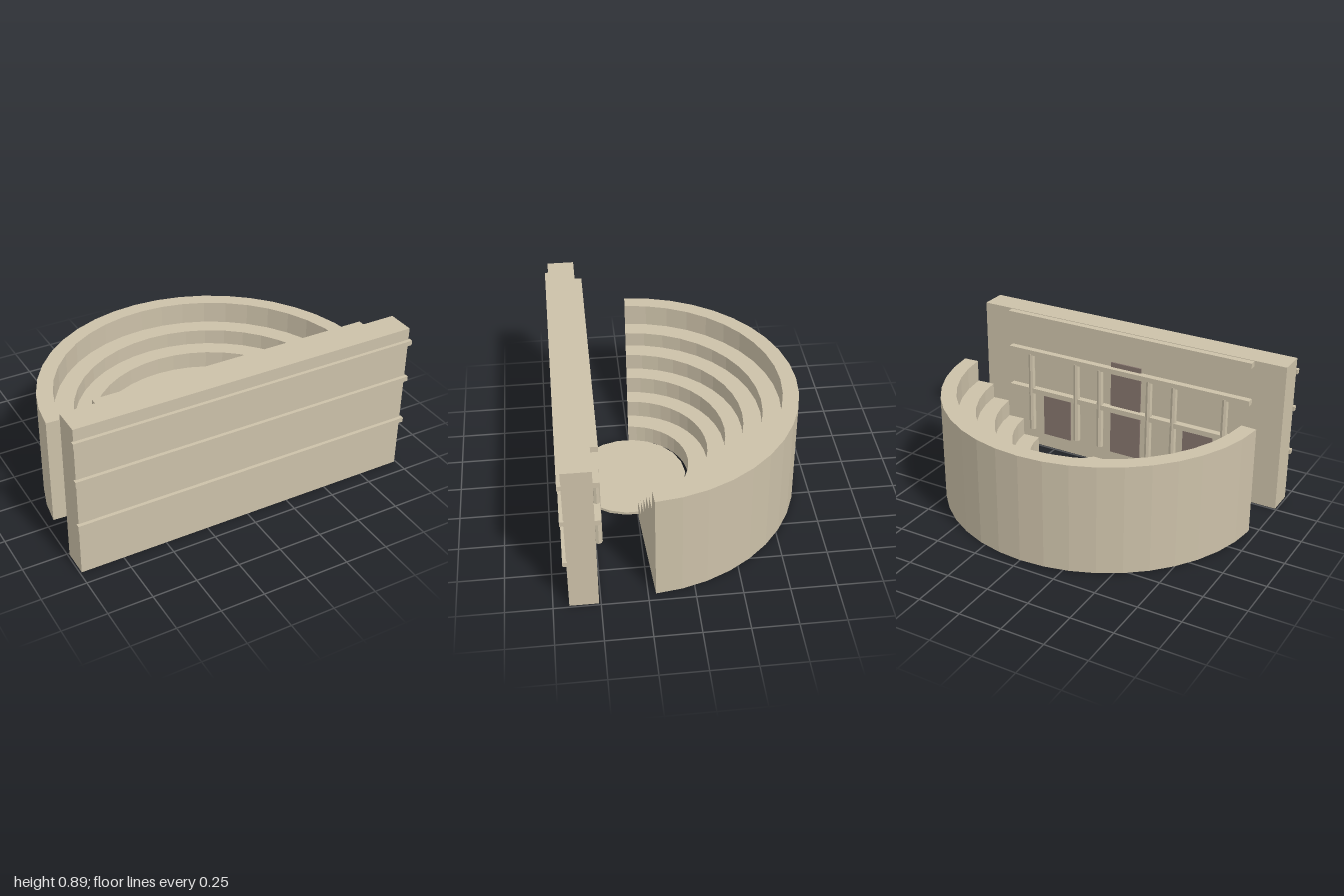
import * as THREE from 'three';

const stone = new THREE.MeshStandardMaterial({ color: 0xcbc0a8 });
stone.name = 'pale stone';
const dark = new THREE.MeshStandardMaterial({ color: 0x84736c });
dark.name = 'dark doorway';

// Facet a geometry so every face has its own normal
function faceted(geometry) {
  const g = geometry.toNonIndexed();
  g.computeVertexNormals();
  return g;
}

export function createModel() {
  const root = new THREE.Group();
  root.name = 'amphitheatre';

  function add(name, geometry, material, x = 0, y = 0, z = 0, parent = root) {
    const mesh = new THREE.Mesh(geometry, material);
    mesh.name = name;
    mesh.position.set(x, y, z);
    parent.add(mesh);
    return mesh;
  }
  const box = (name, w, h, d, x, y, z, material = stone) =>
    add(name, new THREE.BoxGeometry(w, h, d), material, x, y, z);

  // Stage wall with ledges on both faces
  box('stageWall', 1.98, 0.895, 0.155, 0, 0.4475, 0.5875);
  for (const y of [0.306, 0.582, 0.812]) box('frontLedge', 2, 0.028, 0.024, 0, y, 0.673);
  for (const y of [0.39, 0.645, 0.876]) box('stageLedge', 1.6, 0.032, 0.04, 0, y, 0.49);

  // Doorways: a tall one in the middle, a low one on each side
  box('middleDoor', 0.2, 0.6, 0.009, 0, 0.39, 0.5055, dark);
  for (const x of [-0.48, 0.48]) box('sideDoor', 0.19, 0.285, 0.009, x, 0.2325, 0.5055, dark);

  // Slim columns flanking the doorways
  const column = faceted(new THREE.CylinderGeometry(0.02, 0.022, 0.515, 8));
  for (const x of [0.165, 0.328, 0.65]) {
    for (const side of [1, -1]) add('column', column, stone, side * x, 0.3775, 0.487);
  }

  // Round orchestra floor
  const centreZ = 0.27;
  add('orchestraFloor', faceted(new THREE.CylinderGeometry(0.328, 0.328, 0.017, 22)),
    stone, 0, 0.0085, centreZ);

  // Stepped seating: one closed profile swept round the orchestra
  const radii = [0.345, 0.455, 0.555, 0.655, 0.76, 0.865, 0.955];
  const heights = [0.107, 0.213, 0.32, 0.42, 0.51, 0.64];
  const profile = [[radii[0], 0], [radii[6], 0]];
  for (let i = 5; i >= 0; i--) {
    profile.push([radii[i + 1], heights[i]], [radii[i], heights[i]]);
  }
  const points = profile.map(([r, y]) => new THREE.Vector2(r, y));
  const endAngle = 0.064;
  const sweep = Math.PI - 2 * endAngle;

  const seating = new THREE.Group();
  seating.name = 'seating';
  seating.position.z = centreZ;
  root.add(seating);
  const tiers = new THREE.LatheGeometry([...points, points[0].clone()], 20,
    Math.PI / 2 + endAngle, sweep);
  add('seatingTiers', faceted(tiers), stone, 0, 0, 0, seating);

  // Flat end faces of the seating
  for (const side of [1, -1]) {
    const shape = new THREE.Shape(points.map((p) => new THREE.Vector2(side * p.x, p.y)));
    const end = add('seatingEnd', new THREE.ShapeGeometry(shape), stone, 0, 0, 0, seating);
    end.rotation.y = side * endAngle;
  }

  return root;
}
